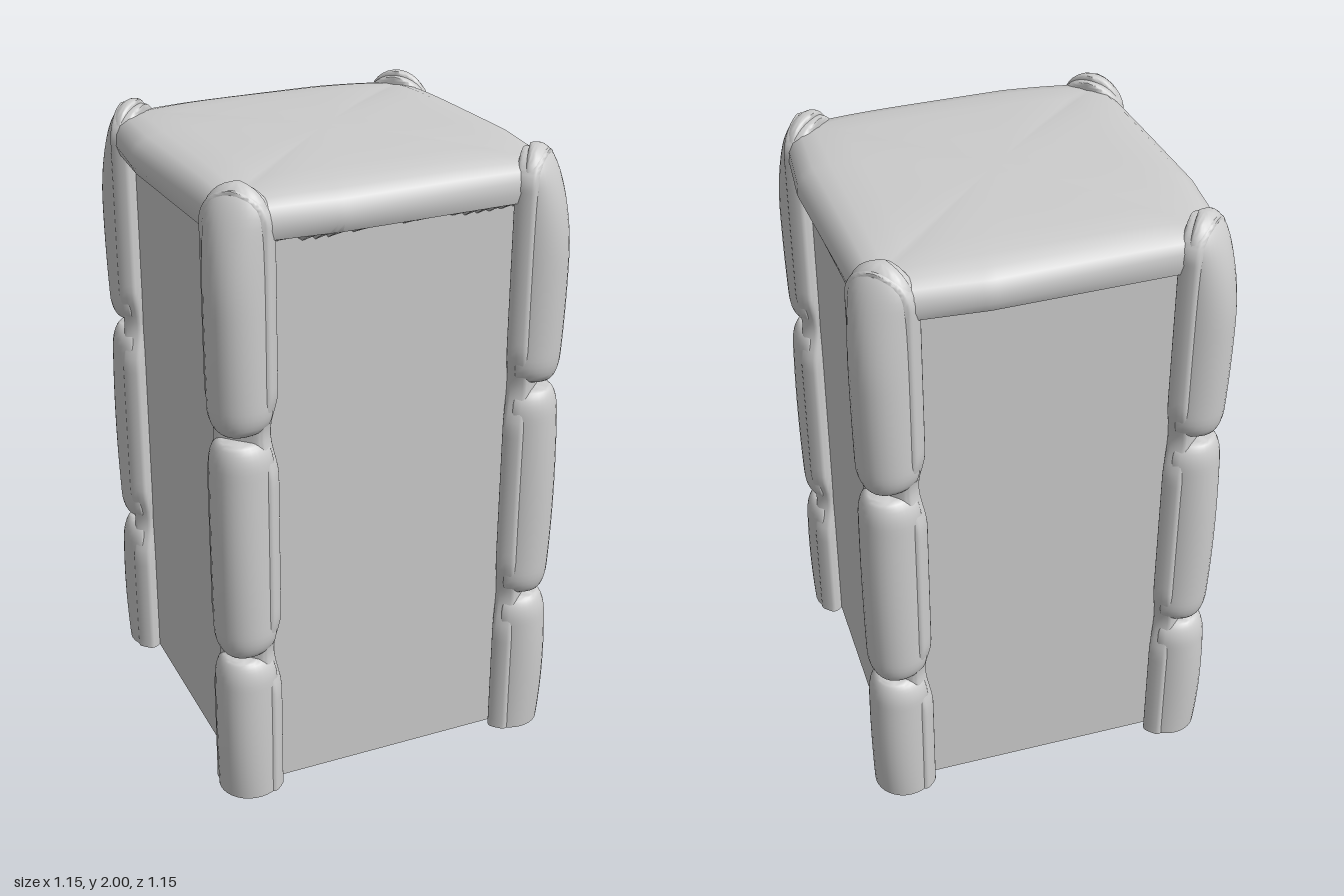
import * as THREE from 'three';
import { toCreasedNormals } from 'three/addons/utils/BufferGeometryUtils.js';

const stone = new THREE.MeshStandardMaterial({ color: 0xcccccc });
stone.name = 'stone grey';

// Skins a stack of closed rings and closes both ends with fans.
function loft(rings, crease) {
  const n = rings[0].length, pos = [], idx = [];
  rings.forEach(r => r.forEach(p => pos.push(...p)));
  for (let j = 0; j < rings.length - 1; j++) {
    for (let i = 0; i < n; i++) {
      const a = j * n + i, b = j * n + (i + 1) % n;
      idx.push(a, a + n, b, b, a + n, b + n);
    }
  }
  [0, rings.length - 1].forEach((j, end) => {
    const c = pos.length / 3;
    for (let k = 0; k < 3; k++) pos.push(rings[j].reduce((s, p) => s + p[k], 0) / n);
    for (let i = 0; i < n; i++) {
      const a = j * n + i, b = j * n + (i + 1) % n;
      if (end) idx.push(c, b, a);
      else idx.push(c, a, b);
    }
  });
  const g = new THREE.BufferGeometry();
  g.setAttribute('position', new THREE.Float32BufferAttribute(pos, 3));
  g.setIndex(idx);
  return toCreasedNormals(g, crease);
}

const dome = (d, r, p = 2) => Math.sqrt(Math.max(0, 1 - Math.pow(1 - Math.min(d / r, 1), p)));
const V0 = 0.66; // distance of the post's spine from the model's axis

// Cross-section across a corner: half width a, outer depth b, inner depth c.
function section(y, a, b, c, power, n = 32) {
  return Array.from({ length: n }, (_, i) => {
    const t = i / n * Math.PI * 2, s = Math.sin(t), q = Math.cos(t);
    const f = v => Math.sign(v) * Math.pow(Math.abs(v), power);
    return [a * f(q), y, V0 + (s > 0 ? b : c) * f(s)];
  });
}

// Padded post segment, pinched at its joints and domed at the very top.
function cushion(y0, y1) {
  const rings = [], steps = 32;
  for (let j = 0; j <= steps; j++) {
    const y = y0 + (y1 - y0) * (1 - Math.cos(j / steps * Math.PI)) / 2;
    let a = 0.1, b = 0.116 - 0.012 * Math.pow((2 * (y - y0) / (y1 - y0)) - 1, 2);
    const pinch = d => {
      const k = dome(d, 0.08);
      a *= 0.55 + 0.45 * k;
      b *= 0.74 + 0.26 * k;
    };
    if (y0 > 0) pinch(y - y0);
    if (y1 < 2) pinch(y1 - y);
    else {
      a *= Math.max(0.02, dome(2 - y, 0.1));
      b *= Math.max(0.02, dome(2 - y, 0.35));
    }
    rings.push(section(y, a, b, 0.02, 1));
  }
  return loft(rings, 0.9);
}

// Backing strip that follows the post, narrower at the joints, arched on top.
function backing() {
  const rings = [], steps = 100, top = 1.985;
  for (let j = 0; j <= steps; j++) {
    const y = top * Math.sin(j / steps * Math.PI / 2);
    let a = 0.108;
    for (const joint of [0.505, 1.25]) {
      const d = Math.abs(y - joint) / 0.14;
      if (d < 1) a -= 0.026 * Math.pow(Math.cos(d * Math.PI / 2), 2);
    }
    a *= Math.max(0.05, dome(top - y, 0.1));
    rings.push(section(y, a, 0.04, 0.04, 0.45));
  }
  return loft(rings, 0.7);
}

// Bulging lid with rounded shoulders and a ragged lower edge.
function lid() {
  const n = 48;
  let seed = 7;
  const rand = () => (seed = (seed * 16807) % 2147483647) / 2147483647;
  const teeth = Array.from({ length: n * 4 }, (_, i) =>
    (i % 2 ? 0.008 : -0.008) + (rand() - 0.5) * 0.022);
  // Each level: height, half size, share of side bulge, corner drop.
  const levels = [
    [1.825, 0.48, 0, 0], [1.845, 0.525, 0.7, 0], [1.875, 0.53, 1, 0], [1.91, 0.527, 1, 0],
    [1.94, 0.515, 0.9, 0.006], [1.962, 0.49, 0.7, 0.012], [1.974, 0.45, 0.4, 0.016],
    [1.981, 0.37, 0.2, 0.012], [1.985, 0.2, 0, 0.004], [1.987, 0.02, 0, 0],
  ];
  return loft(levels.map(([y, h, bulge, drop], level) => {
    const ring = [];
    for (let k = 0; k < 4; k++) {
      const c = Math.round(Math.cos(k * Math.PI / 2)), s = Math.round(Math.sin(k * Math.PI / 2));
      for (let i = 0; i < n; i++) {
        const t = 2 * i / (n - 1) - 1;
        const tent = t < 0.4 ? (t + 1) / 1.4 : 1 - (t - 0.4) / 0.9;
        const out = h + bulge * 0.036 * tent;
        const along = t * Math.min(h, 0.46);
        const py = y + (level ? 0 : teeth[k * n + i]) - drop * t ** 4;
        ring.push([c * out - s * along, py, s * out + c * along]);
      }
    }
    return ring;
  }), 0.6);
}

export function createModel() {
  const model = new THREE.Group();
  model.name = 'pillar';
  const add = (parent, geometry, name) => {
    const mesh = new THREE.Mesh(geometry, stone);
    mesh.name = name;
    parent.add(mesh);
    return mesh;
  };

  // Plain square core
  add(model, new THREE.BoxGeometry(0.98, 1.9, 0.98), 'body').position.y = 0.95;
  add(model, lid(), 'lid');

  // Four identical corner posts
  const strip = backing();
  const pads = [[0, 0.497], [0.513, 1.237], [1.263, 2]].map(([a, b]) => cushion(a, b));
  for (let k = 0; k < 4; k++) {
    const post = new THREE.Group();
    post.name = 'cornerPost' + (k + 1);
    post.rotation.y = Math.PI / 4 + k * Math.PI / 2;
    add(post, strip, 'backingStrip');
    pads.forEach((g, i) => add(post, g, 'postSegment' + (i + 1)));
    model.add(post);
  }
  return model;
}
